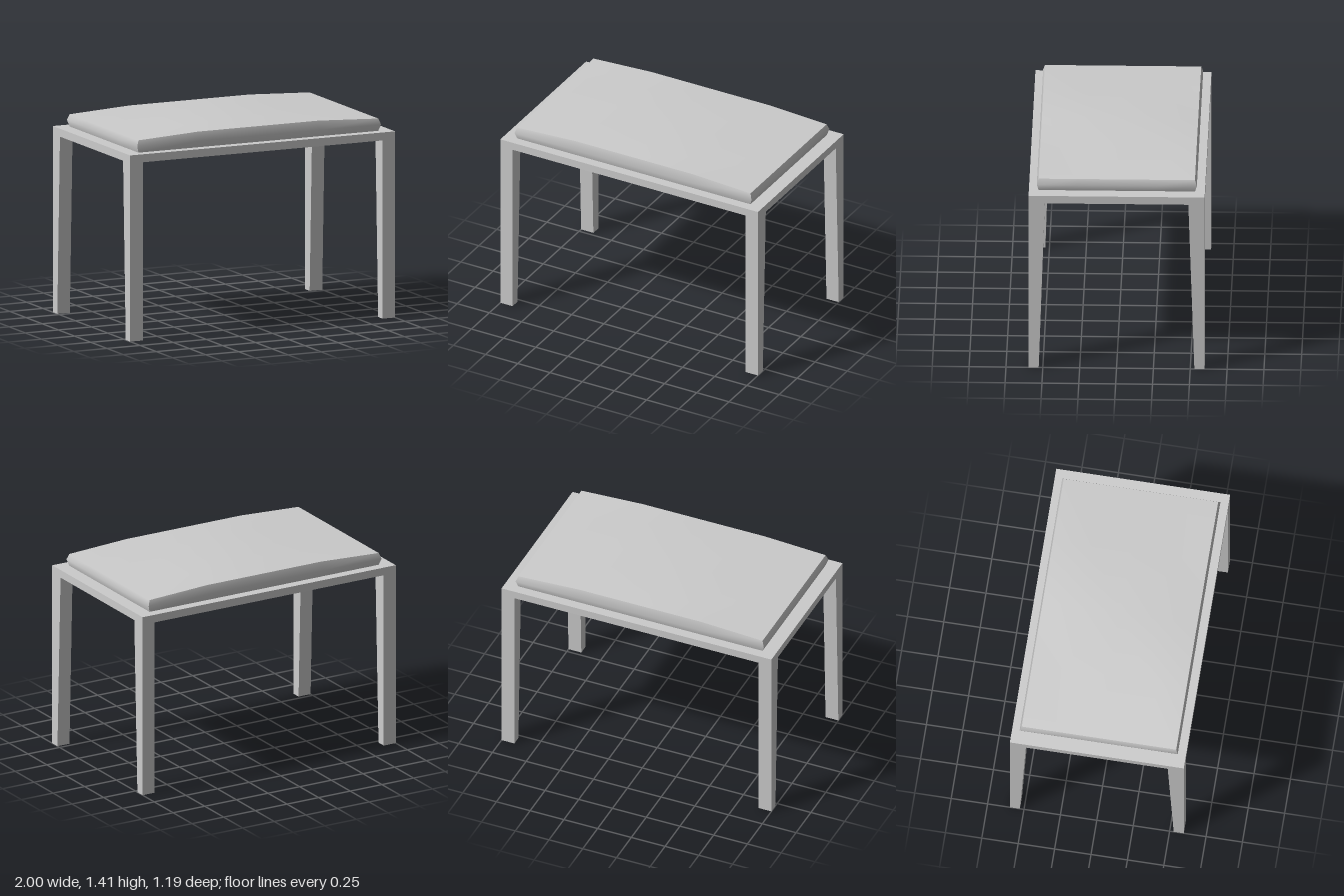
import * as THREE from 'three';
import { toCreasedNormals } from 'three/addons/utils/BufferGeometryUtils.js';

const material = new THREE.MeshStandardMaterial({ color: 0xcccccc, side: THREE.DoubleSide });

const RAIL_BOTTOM = 1.23, RAIL_TOP = 1.285;

// Box sides in order: +x, -x, top, bottom, +z, -z
function openBox(box, keep) {
  const index = Array.from(box.index.array);
  box.setIndex(keep.flatMap((i) => {
    const { start, count } = box.groups[i];
    return index.slice(start, start + count);
  }));
  box.clearGroups();
  return box;
}

// Move every vertex by a rule
function reshape(geometry, rule) {
  const pos = geometry.attributes.position;
  const v = new THREE.Vector3();
  for (let i = 0; i < pos.count; i++) {
    v.fromBufferAttribute(pos, i);
    rule(v);
    pos.setXYZ(i, v.x, v.y, v.z);
  }
  return geometry;
}

function rectangle(Path, x, z) {
  return new Path([[-x, -z], [x, -z], [x, z], [-x, z]].map(([a, b]) => new THREE.Vector2(a, b)));
}

function addMesh(parent, name, geometry) {
  const mesh = new THREE.Mesh(geometry, material);
  mesh.name = name;
  parent.add(mesh);
}

// Leg with straight outer faces; the inner z face leans inward towards the top
function legGeometry(sx, sz) {
  const leg = reshape(new THREE.BoxGeometry(1, 1, 1), (v) => {
    const top = v.y > 0;
    const innerX = v.x * sx < 0, innerZ = v.z * sz < 0;
    v.set(sx * (innerX ? 0.905 : 1), top ? RAIL_BOTTOM : 0, sz * (innerZ ? (top ? 0.487 : 0.528) : 0.597));
  });
  leg.computeVertexNormals();
  return leg;
}

// Open-bottomed cushion: bulging sides and a gently crowned top
function cushionGeometry() {
  const box = openBox(new THREE.BoxGeometry(1.81, 2, 1.06, 4, 2, 4), [0, 1, 2, 4, 5]);
  reshape(box, (v) => {
    const { x, z } = v;
    if (v.y > 0.5) {
      const ax = Math.abs(x);
      v.y = ax > 0.8 ? 1.37 : 1.393;
      if (ax < 0.1 && Math.abs(z) < 0.4) v.y = 1.413;
    } else if (v.y > -0.5) {
      v.set(x * 0.92 / 0.905, 1.33, z * 0.543 / 0.53);
    } else {
      v.y = RAIL_TOP;
    }
  });
  // Ends blend into the top, long edges stay sharp
  return toCreasedNormals(box, THREE.MathUtils.degToRad(64));
}

export function createModel() {
  const model = new THREE.Group();
  model.name = 'bench';

  // Frame: thin apron around a flat top ring
  const frame = new THREE.Group();
  frame.name = 'frame';
  const apron = openBox(new THREE.BoxGeometry(2, RAIL_TOP - RAIL_BOTTOM, 1.194), [0, 1, 4, 5]);
  apron.translate(0, (RAIL_TOP + RAIL_BOTTOM) / 2, 0);
  addMesh(frame, 'apron', apron);
  const ring = rectangle(THREE.Shape, 1, 0.597);
  ring.holes.push(rectangle(THREE.Path, 0.905, 0.53));
  const ringGeometry = new THREE.ShapeGeometry(ring);
  ringGeometry.rotateX(-Math.PI / 2).translate(0, RAIL_TOP, 0);
  addMesh(frame, 'topRing', ringGeometry);
  model.add(frame);

  // Four legs
  for (const [sz, end] of [[1, 'front'], [-1, 'back']]) {
    for (const [sx, side] of [[1, 'Left'], [-1, 'Right']]) {
      const leg = legGeometry(sx, sz);
      addMesh(model, `${end}${side}Leg`, leg);
    }
  }

  addMesh(model, 'cushion', cushionGeometry());
  return model;
}
